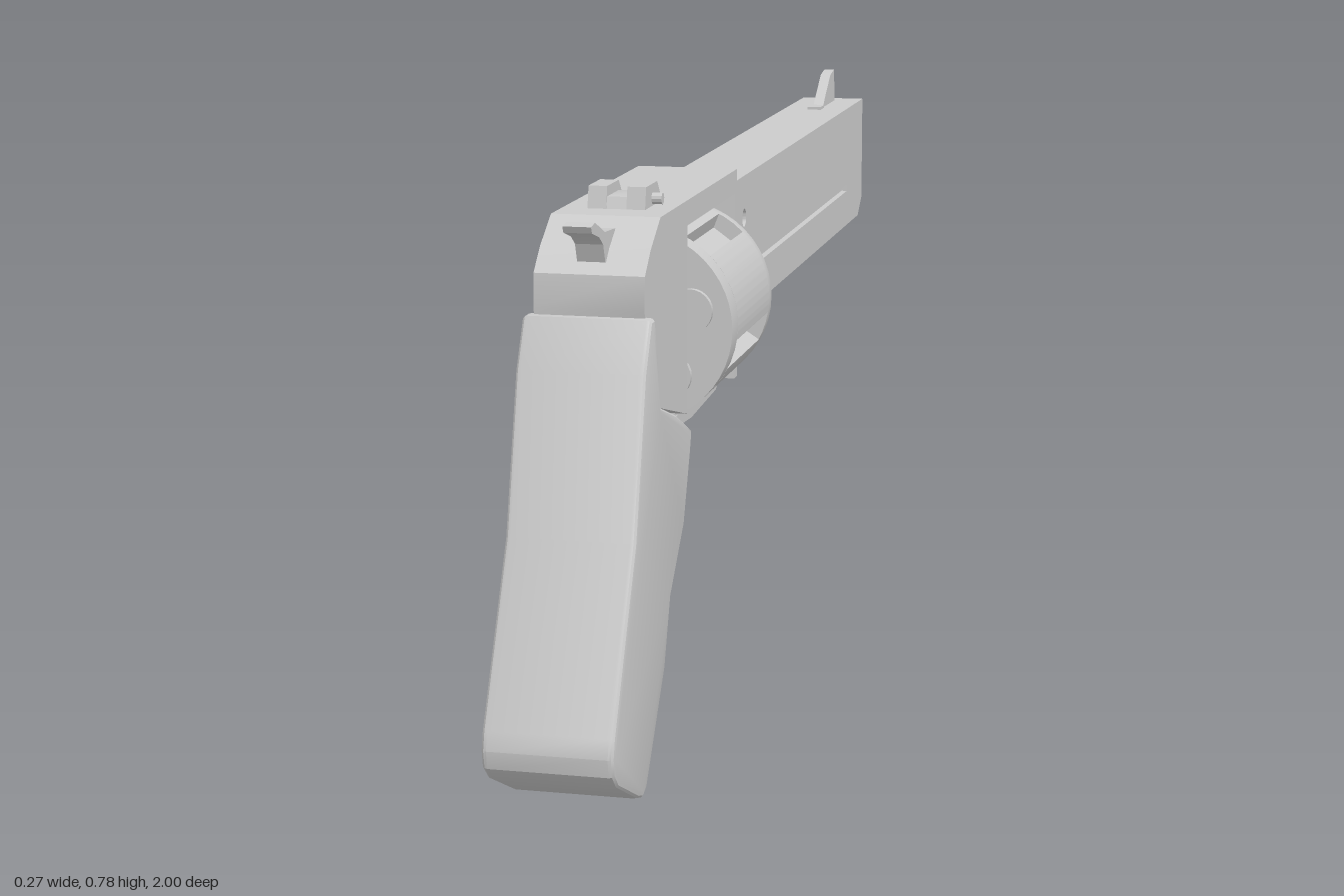
import * as THREE from 'three';
import { toCreasedNormals } from 'three/addons/utils/BufferGeometryUtils.js';

const grey = new THREE.MeshStandardMaterial({ color: 0xcccccc });

export function createModel() {
  const model = new THREE.Group();

  const add = (name, geometry, crease = 0.5) => {
    const mesh = new THREE.Mesh(toCreasedNormals(geometry, crease), grey);
    mesh.name = name;
    model.add(mesh);
    return mesh;
  };
  const polygon = (pts) => new THREE.Shape(pts.map(([a, b]) => new THREE.Vector2(a, b)));
  const hole = (x, y, r) => new THREE.Path().absarc(x, y, r, 0, Math.PI * 2, true);

  // Side profile in (z, y), extruded to the given width across x
  const profile = (pts, width, { x = 0, bevel = 0, holes = [] } = {}) => {
    const shape = polygon(pts);
    shape.holes.push(...holes);
    const depth = width - 2 * bevel;
    const g = new THREE.ExtrudeGeometry(shape, {
      depth, curveSegments: 10, bevelEnabled: bevel > 0,
      bevelSize: bevel, bevelThickness: bevel, bevelOffset: -bevel, bevelSegments: 3,
    });
    return g.translate(0, 0, -depth / 2).rotateY(-Math.PI / 2).translate(x, 0, 0);
  };
  // Cross-section in (x, y), extruded from z0 to z1
  const alongZ = (shape, z0, z1, steps = 1) => new THREE.ExtrudeGeometry(shape, {
    depth: z1 - z0, steps, curveSegments: 24, bevelEnabled: false,
  }).translate(0, 0, z0);
  const moveVertices = (g, rule) => {
    const p = g.attributes.position, v = new THREE.Vector3();
    for (let i = 0; i < p.count; i++) {
      rule(v.fromBufferAttribute(p, i));
      p.setXYZ(i, v.x, v.y, v.z);
    }
    return g;
  };

  // Barrel: core with a cross pin hole, slotted skins on both sides
  const barrelSide = [[-0.88, 0.505], [0.115, 0.505], [0.21, 0.535], [0.21, 0.72], [-0.88, 0.72]];
  const pinHole = () => hole(0.065, 0.655, 0.014);
  const slot = () => new THREE.Path([[-0.84, 0.568], [-0.84, 0.58], [0.115, 0.58], [0.115, 0.568]]
    .map(([a, b]) => new THREE.Vector2(a, b)));
  add('barrelCore', profile(barrelSide, 0.092, { holes: [pinHole()] }));
  for (const s of [-1, 1]) {
    add('barrelSkin', profile(barrelSide, 0.01, { x: s * 0.051, holes: [pinHole(), slot()] }));
  }

  // Muzzle block with bore and chamfered lower edge
  const muzzle = polygon([[-0.056, 0.505], [0.056, 0.505], [0.056, 0.72], [-0.056, 0.72]]);
  muzzle.holes.push(hole(0, 0.65, 0.034));
  add('muzzle', moveVertices(alongZ(muzzle, -1, -0.88, 3), (v) => {
    if (v.z < -0.99 && v.y < 0.51) v.y = 0.535;
  }));

  // Front sight
  add('frontSight', profile([[-0.965, 0.715], [-0.84, 0.715], [-0.865, 0.735], [-0.92, 0.772],
    [-0.957, 0.778], [-0.962, 0.75]], 0.018));
  add('frontSightFoot', new THREE.BoxGeometry(0.024, 0.01, 0.035).translate(0, 0.72, -0.825));

  // Frame: top strap, front plate and rear body around the cylinder window
  add('frame', profile([[0.205, 0.437], [0.225, 0.437], [0.225, 0.715], [0.53, 0.715], [0.53, 0.45],
    [0.735, 0.505], [0.775, 0.64], [0.772, 0.685], [0.74, 0.715], [0.685, 0.75], [0.205, 0.75]], 0.15));
  add('bottomStrap', profile([[0.205, 0.437], [0.24, 0.422], [0.4, 0.415], [0.56, 0.425],
    [0.57, 0.46], [0.53, 0.452], [0.5, 0.437]], 0.1));

  // Cylinder: five flutes, with chambers between them
  const cy = 0.57, radius = 0.137, step = Math.PI * 2 / 5;
  const chamberAngle = (i) => Math.PI / 2 + i * step;
  const disc = (fluted, chambers) => {
    const shape = new THREE.Shape();
    if (fluted) {
      for (let i = 0; i < 5; i++) {
        const a = chamberAngle(i), half = step / 2;
        shape.absarc(0, 0, radius, a - half + 0.16, a + half - 0.16, false);
        for (const d of [-0.14, 0.14]) {
          shape.lineTo(0.115 * Math.cos(a + half + d), 0.115 * Math.sin(a + half + d));
        }
      }
      shape.closePath();
    } else shape.absarc(0, 0, radius, 0, Math.PI * 2, false);
    for (let i = 0; chambers && i < 5; i++) {
      const a = chamberAngle(i);
      shape.holes.push(hole(0.083 * Math.cos(a), 0.083 * Math.sin(a), 0.026));
    }
    return shape;
  };
  const front = moveVertices(alongZ(disc(false, true), 0.233, 0.27, 2), (v) => {
    if (v.z < 0.235 && Math.hypot(v.x, v.y) > 0.13) { v.x *= 0.93; v.y *= 0.93; }
  });
  add('cylinderFront', front.translate(0, cy, 0));
  add('cylinderFluted', alongZ(disc(true, true), 0.27, 0.485).translate(0, cy, 0));
  add('cylinderRear', alongZ(disc(false, false), 0.485, 0.523).translate(0, cy, 0));
  for (let i = 0; i < 5; i++) {
    const a = chamberAngle(i);
    add('cartridgeRim', new THREE.CylinderGeometry(0.031, 0.031, 0.012, 24).rotateX(Math.PI / 2)
      .translate(0.083 * Math.cos(a), cy + 0.083 * Math.sin(a), 0.526));
  }
  add('cylinderPin', new THREE.CylinderGeometry(0.022, 0.022, 0.32, 20).rotateX(Math.PI / 2)
    .translate(0, cy, 0.375));

  // Grip
  add('grip', profile([[0.765, 0.63], [0.785, 0.63], [0.82, 0.565], [0.877, 0.355], [0.993, 0.13],
    [1, 0.105], [0.995, 0.08], [0.975, 0.06], [0.87, 0.008], [0.845, 0], [0.825, 0.006], [0.81, 0.025],
    [0.72, 0.14], [0.685, 0.23], [0.605, 0.31], [0.565, 0.405], [0.555, 0.435], [0.645, 0.475],
    [0.735, 0.505], [0.75, 0.575]], 0.176, { bevel: 0.008 }));

  // Trigger guard: closed loop band
  const guardHole = new THREE.Path([[0.56, 0.42], [0.57, 0.37], [0.56, 0.335], [0.48, 0.292],
    [0.408, 0.328], [0.395, 0.355], [0.413, 0.42]].map(([a, b]) => new THREE.Vector2(a, b)));
  add('triggerGuard', profile([[0.57, 0.437], [0.59, 0.37], [0.587, 0.345], [0.57, 0.315], [0.495, 0.272],
    [0.465, 0.272], [0.39, 0.312], [0.374, 0.345], [0.378, 0.37], [0.395, 0.437]], 0.056,
  { holes: [guardHole] }));
  add('trigger', profile([[0.5, 0.44], [0.49, 0.395], [0.482, 0.36], [0.475, 0.335], [0.46, 0.33],
    [0.445, 0.34], [0.458, 0.37], [0.455, 0.4], [0.445, 0.44]], 0.03));

  // Rear sight: notched block with an adjusting knob
  const sight = (top) => [[0.535, 0.745], [0.63, 0.745], [0.622, top], [0.56, top], [0.537, 0.755]];
  add('rearSightBase', profile(sight(0.766), 0.03));
  for (const s of [-1, 1]) add('rearSightRail', profile(sight(0.78), 0.026, { x: s * 0.027 }));
  add('rearSightKnob', new THREE.CylinderGeometry(0.008, 0.008, 0.016, 12).rotateZ(Math.PI / 2)
    .translate(0.046, 0.76, 0.585));

  // Hammer
  add('hammer', profile([[0.69, 0.735], [0.7, 0.69], [0.76, 0.7], [0.77, 0.725], [0.79, 0.738],
    [0.825, 0.748], [0.83, 0.757], [0.81, 0.76], [0.76, 0.74], [0.72, 0.738]], 0.038));

  return model;
}
